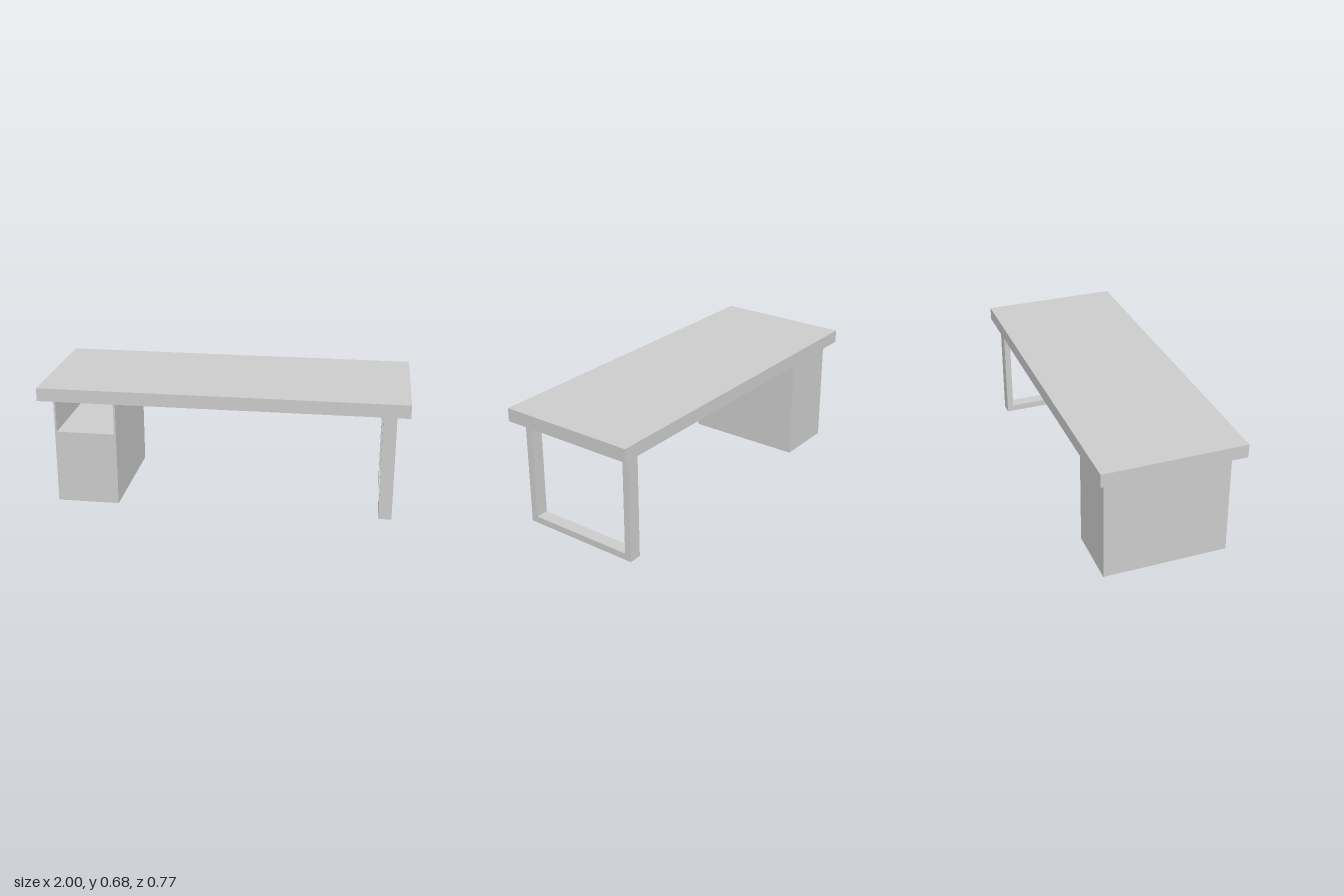
import * as THREE from 'three';

const material = new THREE.MeshStandardMaterial({ color: 0xcccccc, flatShading: true });

// Rectangle corners, counter-clockwise
function rect(x0, y0, x1, y1) {
  return [[x0, y0], [x1, y0], [x1, y1], [x0, y1]].map(([x, y]) => new THREE.Vector2(x, y));
}

// Rectangular frame in the xy plane, extruded along +z
function frameGeometry(outer, inner, depth) {
  const shape = new THREE.Shape(rect(...outer));
  shape.holes.push(new THREE.Path(rect(...inner).reverse()));
  return new THREE.ExtrudeGeometry(shape, { depth, bevelEnabled: false });
}

// Box given by its minimum and maximum corners
function boxGeometry(x0, y0, z0, x1, y1, z1) {
  return new THREE.BoxGeometry(x1 - x0, y1 - y0, z1 - z0)
    .translate((x0 + x1) / 2, (y0 + y1) / 2, (z0 + z1) / 2);
}

function addPart(parent, name, geometry) {
  const mesh = new THREE.Mesh(geometry, material);
  mesh.name = name;
  parent.add(mesh);
}

export function createModel() {
  const desk = new THREE.Group();
  desk.name = 'desk';
  const back = -0.346, front = 0.338, under = 0.602;

  addPart(desk, 'desktop', boxGeometry(-1, under, -0.387, 1, 0.675, 0.387));

  // Cabinet: solid below, open niche at the top of the front
  const cabinet = new THREE.Group();
  cabinet.name = 'cabinet';
  const wall = 0.011;
  const body = frameGeometry([-0.925, 0, -0.581, under], [-0.914, 0.411, -0.592, 0.592], front - back - wall);
  addPart(cabinet, 'cabinetBody', body.translate(0, 0, back + wall));
  addPart(cabinet, 'cabinetBack', boxGeometry(-0.925, 0, back, -0.581, under, back + wall));
  desk.add(cabinet);

  // Leg: closed rectangular loop, turned so that its opening faces sideways
  const leg = frameGeometry([-front, 0, -back, under], [-0.3, 0.037, 0.31, 0.566], 0.072);
  addPart(desk, 'frameLeg', leg.rotateY(Math.PI / 2).translate(0.86, 0, 0));

  return desk;
}
